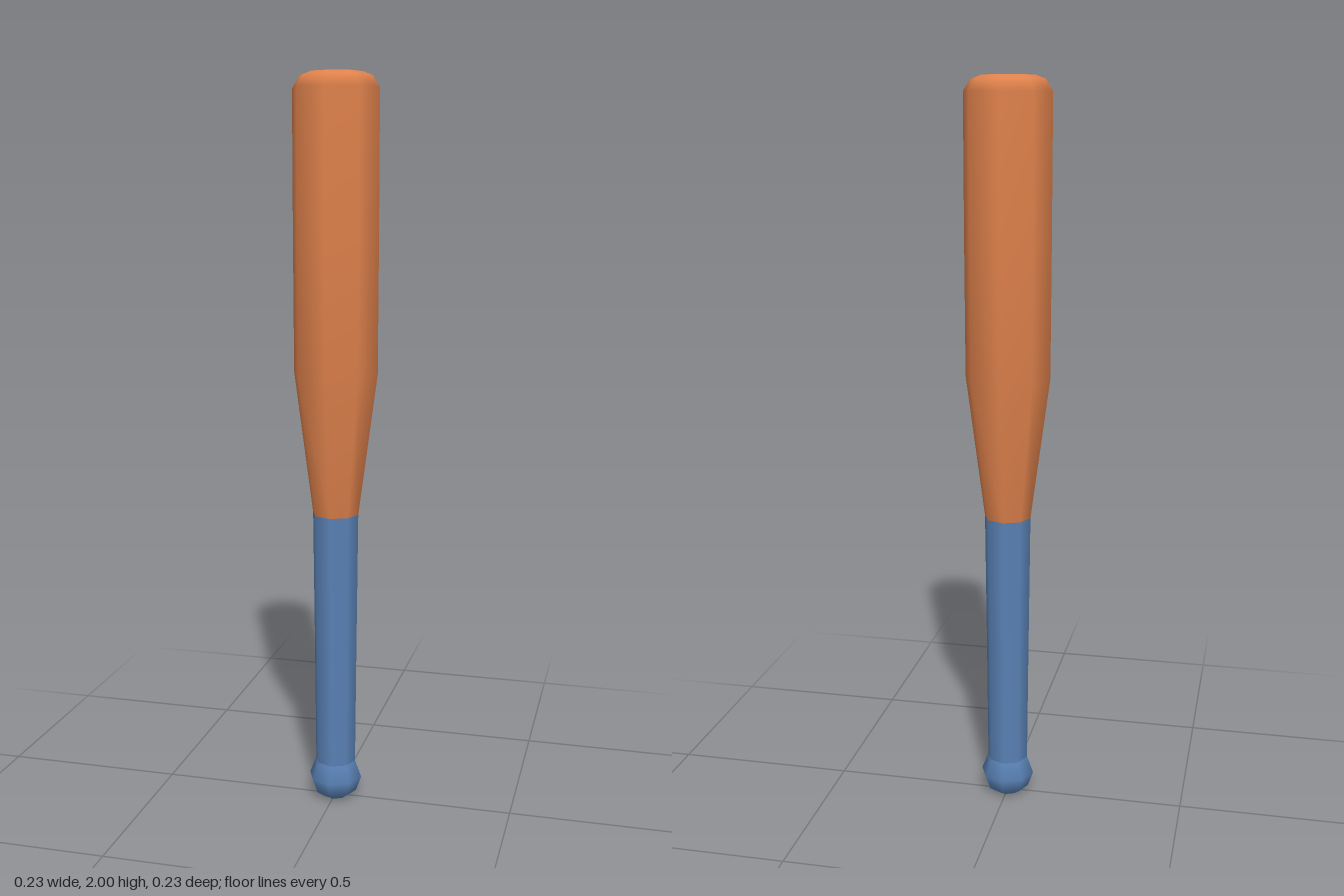
import * as THREE from 'three';

const orange = new THREE.MeshStandardMaterial({ color: 0xe0824c });
orange.name = 'orange barrel';
const blue = new THREE.MeshStandardMaterial({ color: 0x5a82b6 });
blue.name = 'blue grip';
const dark = new THREE.MeshStandardMaterial({ color: 0x363636 });
dark.name = 'dark cup floor';

// Eight-sided turned part from [radius, height] pairs
function turned(name, profile, material) {
  const points = profile.map(([r, y]) => new THREE.Vector2(r, y));
  const mesh = new THREE.Mesh(new THREE.LatheGeometry(points, 8), material);
  mesh.name = name;
  return mesh;
}

export function createModel() {
  const bat = new THREE.Group();
  bat.name = 'bat';

  // Rounded knob at the foot, with a flat base
  bat.add(turned('knobBase', [[0, 0], [0.035, 0]], blue));
  bat.add(turned('knob', [
    [0.035, 0], [0.06, 0.018], [0.075, 0.06], [0.057, 0.108],
  ], blue));

  // Slightly tapered grip
  bat.add(turned('grip', [[0.057, 0.108], [0.06, 0.45], [0.064, 0.83]], blue));

  // Flared neck, straight barrel and chamfered tip
  bat.add(turned('barrel', [
    [0.064, 0.83], [0.116, 1.22], [0.117, 1.58], [0.117, 1.96], [0.098, 1.99], [0.072, 2],
  ], orange));

  // Hollowed cup in the tip
  bat.add(turned('cupWall', [[0.072, 2], [0.055, 1.96]], orange));
  bat.add(turned('cupFloor', [[0.055, 1.96], [0, 1.96]], dark));

  return bat;
}
